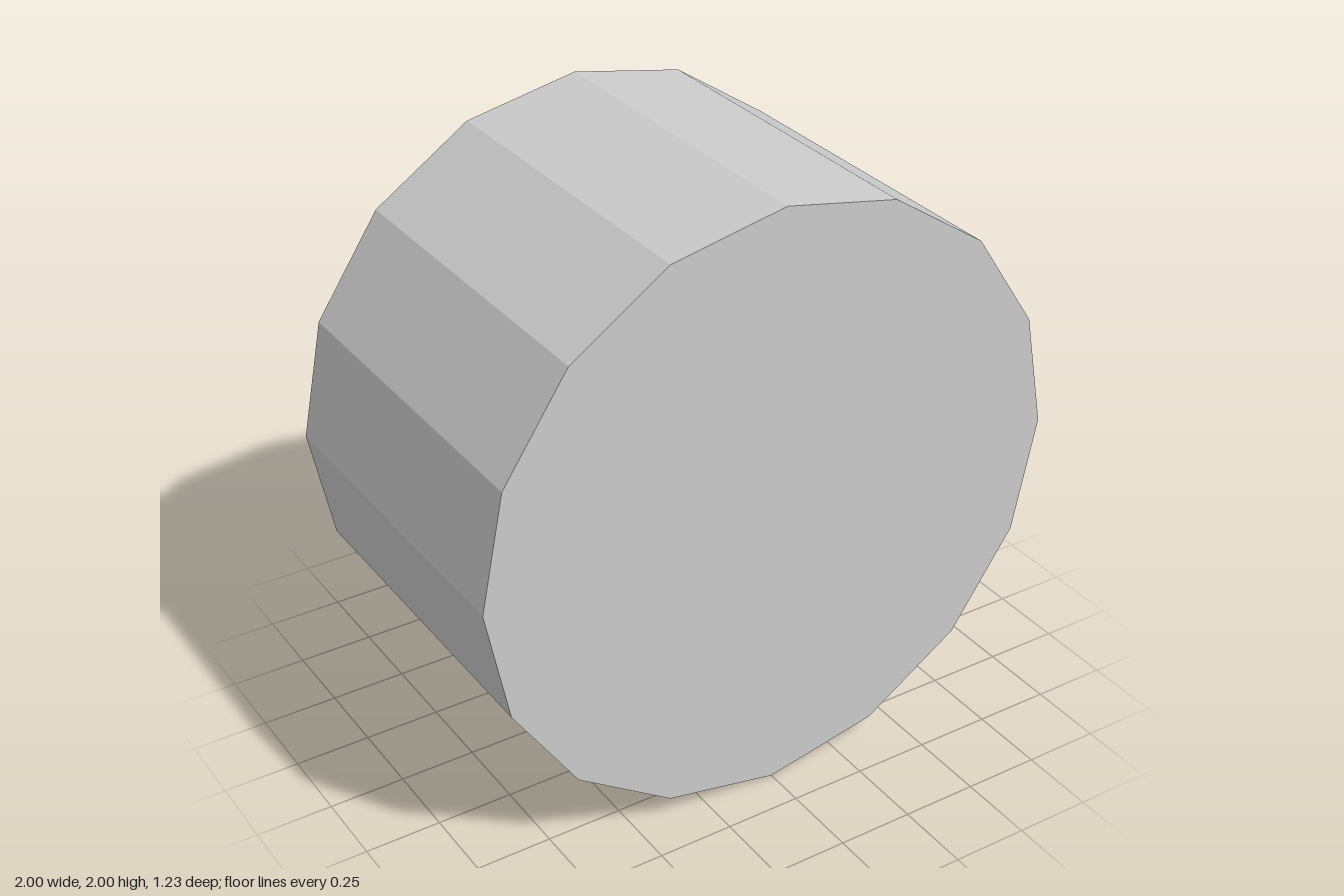
import * as THREE from 'three';

const BACK = -0.54, FRONT = 0.615, BOLT_BACK = -0.615;

export function createModel() {
  const model = new THREE.Group();
  model.name = 'boltedDrum';
  const material = new THREE.MeshStandardMaterial({ color: 0xcccccc, flatShading: true });

  // Prism lying along z between two depths
  const prism = (name, radius, sides, z0, z1) => {
    const geometry = new THREE.CylinderGeometry(radius, radius, z1 - z0, sides);
    geometry.rotateX(Math.PI / 2);
    const mesh = new THREE.Mesh(geometry, material);
    mesh.name = name;
    mesh.position.z = (z0 + z1) / 2;
    return mesh;
  };

  // Sixteen-sided drum
  const drum = prism('drum', 1, 16, BACK, FRONT);
  drum.position.y = 1;
  model.add(drum);

  // Ring of hexagonal bolt heads on the back, flats facing the centre
  const bolts = new THREE.Group();
  bolts.name = 'boltRing';
  bolts.position.y = 1;
  for (let i = 0; i < 8; i++) {
    const angle = (i * Math.PI) / 4;
    const bolt = prism('bolt', 0.115, 6, BOLT_BACK, BACK);
    bolt.position.x = 0.8 * Math.cos(angle);
    bolt.position.y = 0.8 * Math.sin(angle);
    bolt.rotation.z = angle;
    bolts.add(bolt);
  }
  model.add(bolts);

  return model;
}
